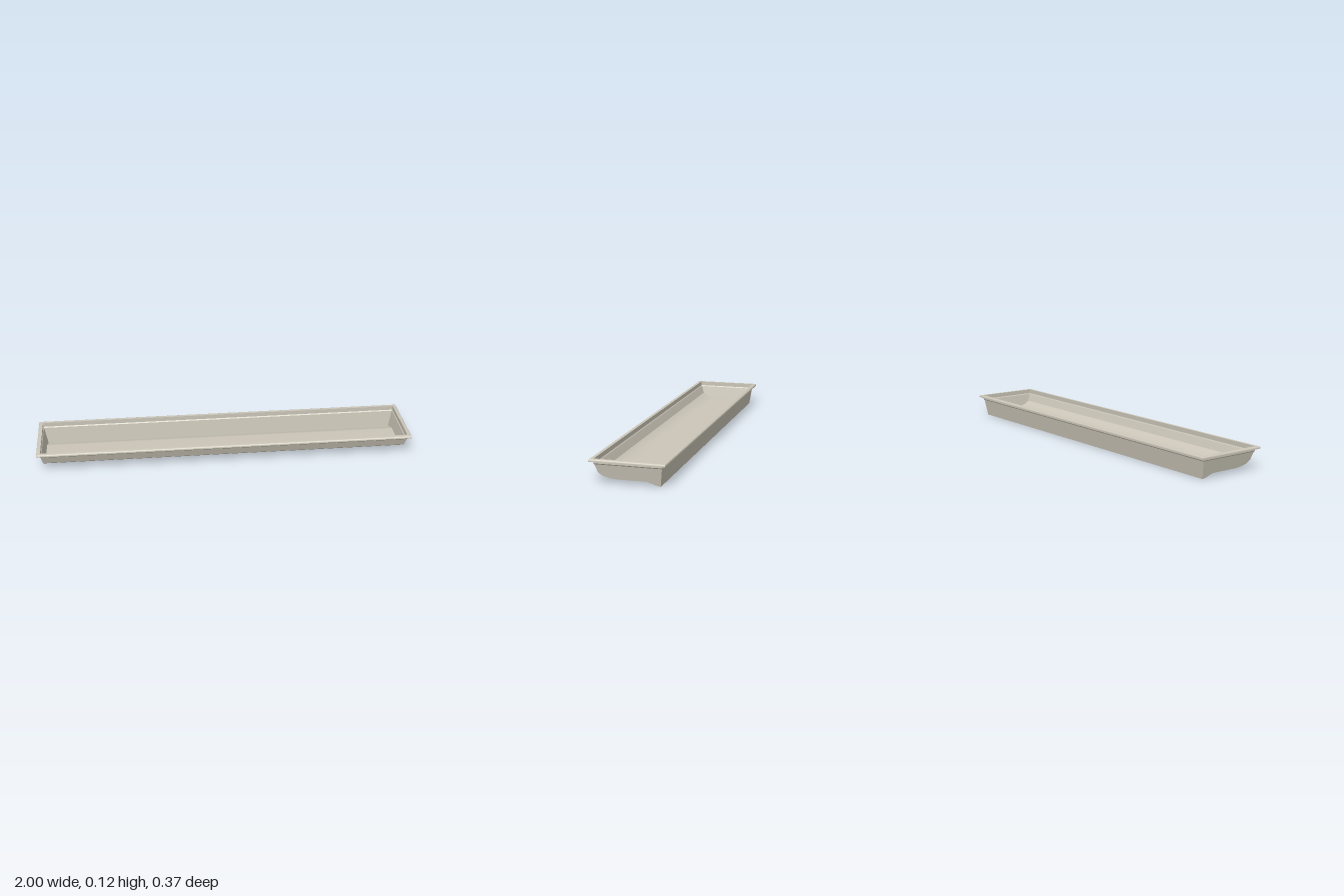
import * as THREE from 'three';
import { toCreasedNormals } from 'three/addons/utils/BufferGeometryUtils.js';

const SEAM = 0.09;       // height where the basin meets the neck
const WALL = 0.003;      // sheet thickness

// Basin outline as [z, y], from the back wall to the front wall
const OUTLINE = [
  [-0.164, SEAM], [-0.152, 0], [-0.13, 0.005], [-0.11, 0.013], [-0.09, 0.02], [-0.075, 0.021],
  [0.06, 0.021], [0.085, 0.023], [0.126, 0.034], [0.148, 0.049], [0.164, SEAM],
];

// Rim and neck section as [inset from the outer edge, y], inside to outside
const RIM = [
  [0.025, SEAM], [0.021, 0.095], [0.021, 0.118], [0.007, 0.118], [0.003, 0.1165], [0.0008, 0.114],
  [0, 0.111], [0, 0.106], [0.018, 0.106], [0.018, 0.095], [0.022, SEAM],
];

function finish(triangles) {
  const geometry = new THREE.BufferGeometry();
  geometry.setAttribute('position', new THREE.Float32BufferAttribute(triangles.flat(), 3));
  return toCreasedNormals(geometry, 0.6);
}

// Trough skin with sloping end walls; inward turns its faces to the inside
function basinSkin(outline, inset, inward) {
  const triangles = [];
  const endX = y => 0.959 + 0.21 * y - inset;
  const point = (side, [z, y]) => [side * endX(y), y, z];
  const quad = (a, b, c, d) =>
    triangles.push(...(inward ? [a, c, b, a, d, c] : [a, b, c, a, c, d]));
  for (let i = 0; i < outline.length - 1; i++) {
    const p = outline[i], q = outline[i + 1];
    const pTop = [p[0], SEAM], qTop = [q[0], SEAM];
    quad(point(-1, p), point(1, p), point(1, q), point(-1, q));
    quad(point(1, p), point(1, pTop), point(1, qTop), point(1, q));
    quad(point(-1, q), point(-1, qTop), point(-1, pTop), point(-1, p));
  }
  return finish(triangles);
}

// Section carried around a rectangle with mitred corners
function rectangularFrame(section, halfX, halfZ) {
  const triangles = [];
  const corners = [[1, 1], [1, -1], [-1, -1], [-1, 1]];
  const point = (i, k) => {
    const [inset, y] = section[i], [sx, sz] = corners[k % 4];
    return [sx * (halfX - inset), y, sz * (halfZ - inset)];
  };
  for (let i = 0; i < section.length - 1; i++) {
    for (let k = 0; k < 4; k++) {
      const a = point(i, k), b = point(i + 1, k), c = point(i + 1, k + 1), d = point(i, k + 1);
      triangles.push(a, b, c, a, c, d);
    }
  }
  return finish(triangles);
}

export function createModel() {
  const stone = new THREE.MeshStandardMaterial({ color: 0xcbc6b8, side: THREE.DoubleSide });
  stone.name = 'warm grey';
  const tray = new THREE.Group();
  tray.name = 'tray';
  const add = (name, geometry) => {
    const mesh = new THREE.Mesh(geometry, stone);
    mesh.name = name;
    tray.add(mesh);
  };

  // Inner skin follows the outer one, one wall thickness inside
  const lining = OUTLINE.map(([z, y]) => [z * 0.982, y + WALL * (1 - y / SEAM)]);
  add('basinOutside', basinSkin(OUTLINE, 0, false));
  add('basinInside', basinSkin(lining, WALL, true));
  add('rim', rectangularFrame(RIM, 1, 0.186));
  return tray;
}
